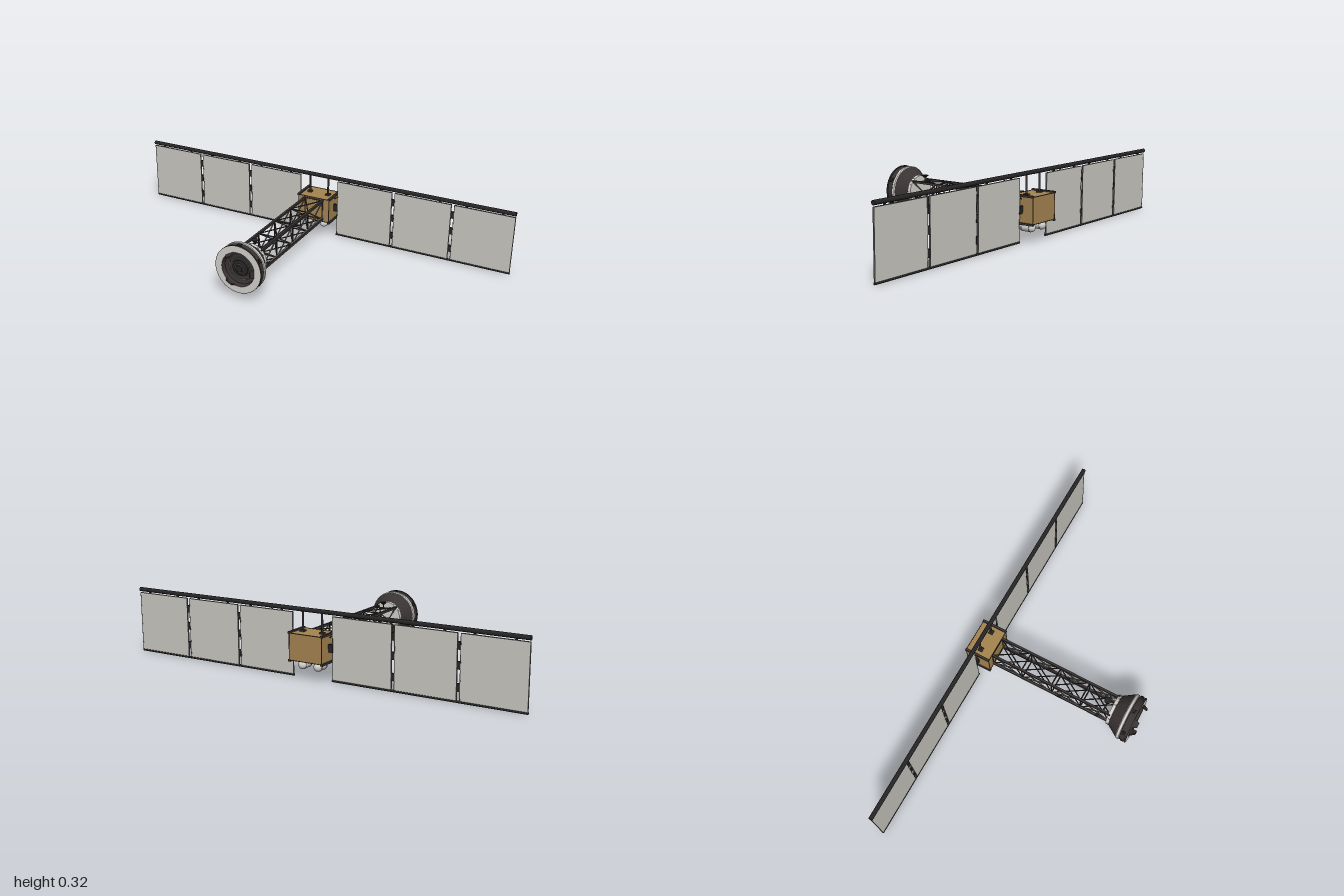
import * as THREE from 'three';
import { toCreasedNormals } from 'three/addons/utils/BufferGeometryUtils.js';

const mat = (name, color) => new THREE.MeshStandardMaterial({ name, color });

export function createModel() {
  const dark = mat('charcoal', 0x3a3333);
  const black = mat('black', 0x262425);
  const light = mat('light grey', 0xd2d0cb);
  const cell = mat('panel grey', 0xc9c7c1);
  const steel = mat('steel', 0x6b6763);
  const gold = mat('gold foil', 0xa58450);
  const root = new THREE.Group();
  root.name = 'spaceProbe';

  const group = (name, parent = root) => {
    const g = new THREE.Group();
    g.name = name;
    parent.add(g);
    return g;
  };
  const add = (parent, name, geo, material, x = 0, y = 0, z = 0) => {
    const m = new THREE.Mesh(geo, material);
    m.name = name;
    m.position.set(x, y, z);
    parent.add(m);
    return m;
  };
  const box = (parent, name, material, w, h, d, x, y, z) =>
    add(parent, name, new THREE.BoxGeometry(w, h, d), material, x, y, z);
  // Round bar between two points
  const bar = (parent, name, material, a, b, r, sides = 10) => {
    const p = new THREE.Vector3(...a), q = new THREE.Vector3(...b), dir = q.clone().sub(p);
    const m = add(parent, name, new THREE.CylinderGeometry(r, r, dir.length(), sides), material);
    m.position.copy(p).add(q).multiplyScalar(0.5);
    m.quaternion.setFromUnitVectors(new THREE.Vector3(0, 1, 0), dir.normalize());
    return m;
  };
  // Lathe around the z axis, profile given as [radius, z] from back to front
  const AXIS = 0.152;
  const turned = (parent, name, material, pts) => {
    const g = new THREE.LatheGeometry(pts.map(p => new THREE.Vector2(...p)), 64);
    g.rotateX(Math.PI / 2);
    return add(parent, name, toCreasedNormals(g, 0.5), material, 0, AXIS, 0);
  };

  // Docking head
  const head = group('dockingHead');
  turned(head, 'rearCollar', light, [[0, 0.302], [0.076, 0.302], [0.076, 0.317]]);
  turned(head, 'cone', dark, [[0.076, 0.317], [0.112, 0.373]]);
  turned(head, 'lightBand', light, [[0.112, 0.373], [0.115, 0.376], [0.115, 0.388], [0.108, 0.39]]);
  turned(head, 'frontRing', dark,
    [[0.108, 0.39], [0.112, 0.392], [0.112, 0.418], [0.116, 0.418], [0.116, 0.425], [0.114, 0.426]]);
  turned(head, 'facePlate', light, [[0.114, 0.426], [0.083, 0.426]]);
  turned(head, 'recess', dark, [[0.083, 0.426], [0.078, 0.405], [0.045, 0.396], [0, 0.396]]);
  turned(head, 'probeHub', black, [[0.042, 0.396], [0.038, 0.408], [0.02, 0.412], [0.016, 0.42], [0, 0.42]]);
  for (const [r, z] of [[0.06, 0.4005], [0.042, 0.398], [0.02, 0.412]])
    add(head, 'hubRing', new THREE.TorusGeometry(r, 0.002, 8, 48), steel, 0, AXIS, z);

  // Three guide petals, leaning inward
  const petalShape = new THREE.Shape([[-0.024, 0], [0.024, 0], [0.012, 0.025], [-0.012, 0.025]]
    .map(p => new THREE.Vector2(...p)));
  const petalGeo = new THREE.ExtrudeGeometry(petalShape, { depth: 0.006, bevelEnabled: false });
  petalGeo.translate(0, 0, -0.003).rotateX(Math.PI / 2).rotateX(0.35);
  for (let i = 0; i < 3; i++) {
    const pivot = group('petalPivot', head);
    pivot.position.set(0, AXIS, 0);
    pivot.rotation.z = i * Math.PI * 2 / 3 - Math.PI / 2;
    add(pivot, 'guidePetal', petalGeo, dark, 0, 0.08, 0.424);
  }
  // Latches round the rim, bolts round the collar
  for (let i = 0; i < 12; i++) {
    const a = i * Math.PI / 6 + Math.PI / 2;
    const at = (r) => [Math.cos(a) * r, AXIS + Math.sin(a) * r];
    if (i % 2 === 0)
      box(head, 'latch', black, 0.012, 0.018, 0.015, ...at(0.111), 0.405).rotation.z = a;
    box(head, 'collarBolt', light, 0.006, 0.006, 0.008, ...at(0.076), 0.313).rotation.z = a;
  }

  // Lattice mast
  const mast = group('mast');
  const X = 0.048, TOP = 0.203, LOW = 0.102;
  const stations = [0.31, 0.155, 0, -0.16, -0.32];
  for (const s of [-1, 1]) {
    box(mast, 'upperLongeron', dark, 0.011, 0.011, 0.63, s * X, TOP, -0.005);
    box(mast, 'lowerLongeron', dark, 0.011, 0.013, 0.63, s * X, LOW, -0.005);
    bar(mast, 'conduit', steel, [s * 0.05, 0.113, 0.3], [s * 0.05, 0.113, -0.318], 0.004);
    for (const z of [0.245, 0.043])
      box(mast, 'conduitClamp', black, 0.012, 0.012, 0.016, s * 0.05, 0.113, z);
    for (const y of [TOP, LOW])
      box(mast, 'mastFoot', black, 0.016, 0.012, 0.012, s * X, y, 0.305);
  }
  stations.forEach((z, i) => {
    for (const s of [-1, 1]) bar(mast, 'post', dark, [s * X, LOW, z], [s * X, TOP, z], 0.0035);
    for (const y of [LOW, TOP]) bar(mast, 'crossBar', dark, [-X, y, z], [X, y, z], 0.0035);
    if (i === stations.length - 1) return;
    const n = stations[i + 1];
    for (const s of [-1, 1]) {
      bar(mast, 'sideBrace', steel, [s * X, LOW, z], [s * X, TOP, n], 0.0033);
      bar(mast, 'sideBrace', steel, [s * X, TOP, z], [s * X, LOW, n], 0.0033);
      for (const y of [LOW, TOP])
        bar(mast, 'deckBrace', dark, [-s * X, y, z], [s * X, y, n], 0.003);
    }
  });

  // Small dish on the mast
  const dish = group('dishAntenna');
  bar(dish, 'dishMount', dark, [-X, TOP, 0.272], [X, TOP, 0.272], 0.004);
  bar(dish, 'dishStem', black, [0, TOP, 0.272], [0, 0.224, 0.272], 0.003);
  add(dish, 'dishCone', new THREE.CylinderGeometry(0.015, 0.006, 0.009, 24), black, 0, 0.225, 0.272);
  add(dish, 'dishRim', new THREE.CylinderGeometry(0.016, 0.016, 0.004, 24), black, 0, 0.231, 0.272);

  // Equipment box with edge rails
  const bus = group('equipmentBox');
  const Z = -0.38;
  box(bus, 'body', gold, 0.168, 0.122, 0.122, 0, 0.151, Z);
  for (const s of [-1, 1]) {
    for (const y of [0.214, 0.088])
      box(bus, 'edgeRail', dark, 0.012, 0.01, 0.127, s * 0.084, y, Z);
    for (const e of [-1, 1]) {
      box(bus, 'cornerTrim', dark, 0.003, 0.122, 0.003, s * 0.084, 0.151, Z + e * 0.061);
      box(bus, e > 0 ? 'topTrim' : 'bottomTrim', dark, 0.168, 0.003, 0.003, 0, e > 0 ? 0.212 : 0.09, Z + s * 0.061);
    }
    box(bus, 'wingJoint', black, 0.024, 0.036, 0.012, s * 0.094, 0.152, Z);
    // Propellant tanks
    const tank = add(bus, 'tank', new THREE.CapsuleGeometry(0.02, 0.043, 8, 24), light, s * 0.04, 0.065, Z);
    tank.rotation.x = Math.PI / 2;
    for (const e of [-1, 1]) {
      const band = add(bus, 'tankBand', new THREE.TorusGeometry(0.0195, 0.0015, 6, 24), steel, s * 0.04, 0.065, Z + e * 0.02);
      band.scale.z = 1.5;
    }
    // Boom struts and guy wires
    bar(bus, 'boomStrut', dark, [s * 0.05, 0.205, Z], [s * 0.05, 0.312, Z], 0.005);
    box(bus, 'strutFoot', dark, 0.022, 0.008, 0.022, s * 0.05, 0.215, Z);
    bar(bus, 'guyWire', black, [s * 0.088, 0.2, Z], [s * 0.23, 0.311, Z], 0.0025, 6);
  }

  // Solar wings hung from the boom
  const wings = group('solarWings');
  bar(wings, 'boom', black, [-1, 0.311, Z], [1, 0.311, Z], 0.01, 20);
  for (const s of [-1, 1]) {
    const wing = group(s > 0 ? 'leftWing' : 'rightWing', wings);
    bar(wing, 'lowerBar', black, [s * 0.1, 0.006, Z], [s, 0.006, Z], 0.0055);
    for (const [a, b] of [[0.104, 0.392], [0.408, 0.692], [0.708, 0.998]]) {
      const mid = s * (a + b) / 2, w = b - a;
      box(wing, 'panel', cell, w, 0.285, 0.006, mid, 0.152, Z);
      for (const e of [-1, 1]) {
        box(wing, 'panelEdge', steel, 0.003, 0.285, 0.007, mid + e * w / 2, 0.152, Z);
        box(wing, 'hangerClip', black, 0.01, 0.014, 0.006, mid + e * w * 0.3, 0.3, Z);
      }
      box(wing, 'panelTopEdge', steel, w, 0.003, 0.007, mid, 0.294, Z);
    }
    for (const x of [0.4, 0.7]) for (const y of [0.243, 0.16, 0.067])
      box(wing, 'hinge', black, 0.015, 0.034, 0.009, s * x, y, Z);
  }
  return root;
}
